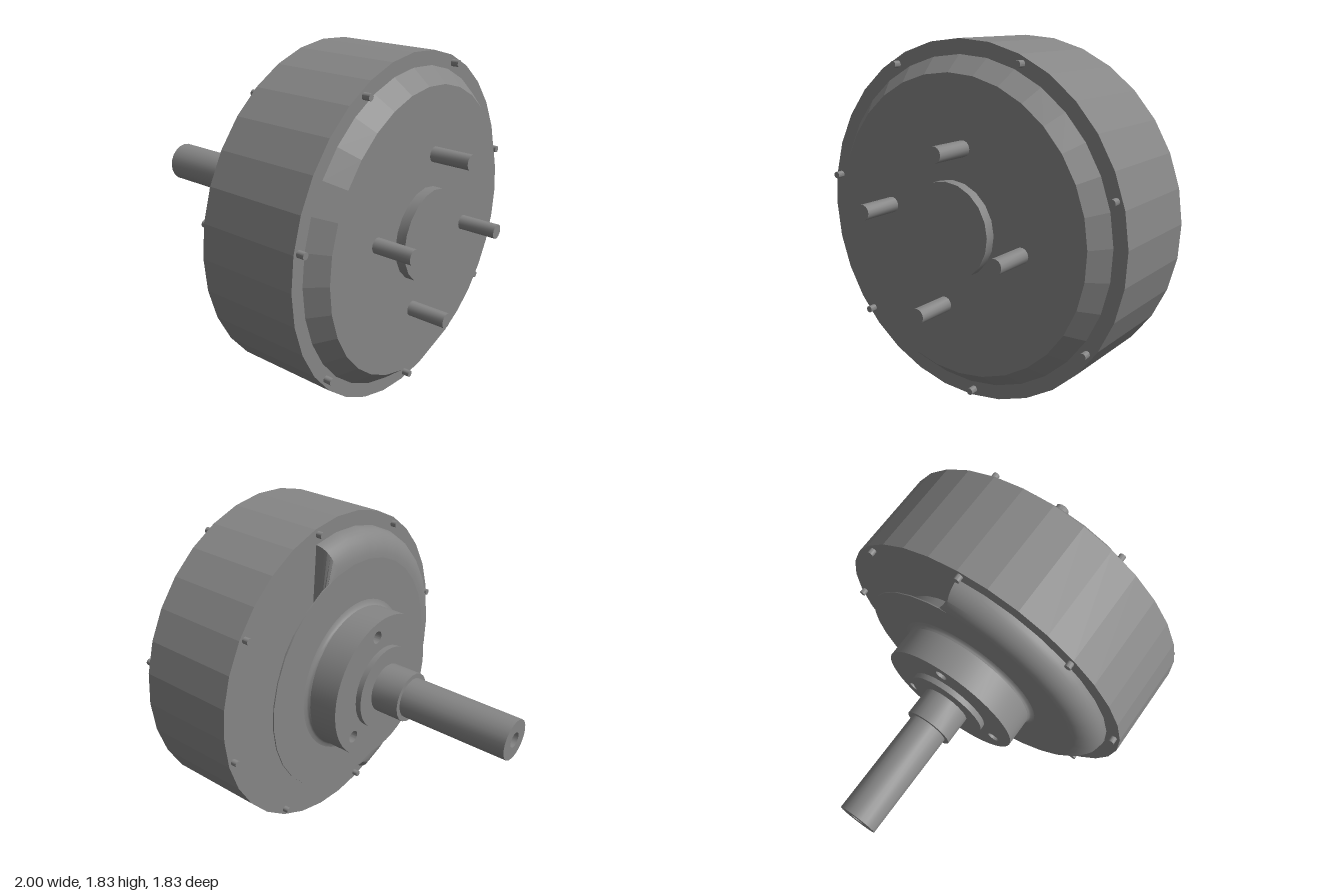
import * as THREE from 'three';
import { toCreasedNormals } from 'three/addons/utils/BufferGeometryUtils.js';

const grey = 0x868686;
const smooth = new THREE.MeshStandardMaterial({ color: grey, side: THREE.DoubleSide });
const faceted = new THREE.MeshStandardMaterial({ color: grey, side: THREE.DoubleSide, flatShading: true });

// Revolve a profile of [x, radius] pairs around the x axis
function turned(profile, sides) {
  const points = profile.map(([x, r]) => new THREE.Vector2(r, x));
  return new THREE.LatheGeometry(points, sides).rotateZ(-Math.PI / 2);
}

export function createModel() {
  const model = new THREE.Group();
  const axis = new THREE.Group();
  axis.name = 'wheelHub';
  axis.position.y = 0.915;
  model.add(axis);

  function add(name, geometry, material = smooth) {
    const creased = material === smooth ? toCreasedNormals(geometry, 0.6) : geometry;
    const mesh = new THREE.Mesh(creased, material);
    mesh.name = name;
    axis.add(mesh);
    return mesh;
  }

  // Ring of pins parallel to the axis, the first at startDeg up from +z
  function pins(name, count, startDeg, ring, radius, x0, x1) {
    for (let i = 0; i < count; i++) {
      const a = THREE.MathUtils.degToRad(startDeg + (360 * i) / count);
      const pin = add(name, turned([[x0, 0], [x0, radius], [x1, radius], [x1, 0]], 14));
      pin.position.set(0, ring * Math.sin(a), ring * Math.cos(a));
    }
  }

  // Drum with chamfered cover and centre boss
  const drum = add('drum', turned([[0.14, 0], [0.14, 0.915], [0.698, 0.915], [0.698, 0]], 32), faceted);
  const cover = add('cover', turned([[0.698, 0.84], [0.79, 0.76], [0.79, 0]], 32), faceted);
  drum.rotation.x = cover.rotation.x = 0.016;
  add('boss', turned([[0.79, 0.245], [0.843, 0.245], [0.843, 0]], 20));
  pins('wheelStud', 4, 9.7, 0.41, 0.04, 0.79, 1);
  pins('coverBolt', 7, 10.6, 0.88, 0.018, 0.69, 0.738);
  pins('backBolt', 8, 9.5, 0.88, 0.018, 0.107, 0.145);

  // Back plate, with a small fillet towards the hub
  const edge = 0.68;
  add('backPlate', turned([[0.02, 0], [0.02, edge], [0.026, edge]], 32));
  add('hubFillet', turned([[0, 0.415], [0.008, 0.418], [0.015, 0.426], [0.02, 0.445]], 48));

  // Rounded rim of the back plate; it is turned inward on the rear half
  const profile = [];
  for (let i = 0; i <= 8; i++) {
    const t = (i / 8) * Math.PI / 2;
    profile.push([0.14 - 0.12 * Math.cos(t), edge + 0.152 * Math.sin(t)]);
  }
  const rim = turned(profile, 32);
  const pos = rim.attributes.position;
  const rear = THREE.MathUtils.degToRad(192);
  for (let i = 0; i < pos.count; i++) {
    const y = pos.getY(i), z = pos.getZ(i), r = Math.hypot(y, z);
    if (Math.cos(Math.atan2(y, z) - rear) > 0.14) {
      const k = (2 * edge - r) / r;
      pos.setY(i, y * k);
      pos.setZ(i, z * k);
    }
  }
  add('backPlateRim', rim);

  // Hub cylinder with three bolt holes
  const disc = new THREE.Shape().absarc(0, 0, 0.415, 0, Math.PI * 2, false);
  for (let i = 0; i < 3; i++) {
    const a = THREE.MathUtils.degToRad(98 + 120 * i);
    disc.holes.push(new THREE.Path().absarc(-0.33 * Math.cos(a), 0.33 * Math.sin(a), 0.035, 0, Math.PI * 2, true));
  }
  const hub = new THREE.ExtrudeGeometry(disc, { depth: 0.19, bevelEnabled: false, curveSegments: 24 });
  add('hub', hub.rotateY(Math.PI / 2).translate(-0.17, 0, 0));

  // Stepped flange, collar and bored shaft
  add('flange', turned([[-0.202, 0], [-0.202, 0.238], [-0.17, 0.238]], 32));
  add('collar', turned([[-0.37, 0], [-0.37, 0.14], [-0.2, 0.14]], 20));
  add('shaft', turned([[-0.75, 0], [-0.75, 0.042], [-1, 0.042], [-1, 0.113], [-0.36, 0.113]], 20));

  return model;
}
